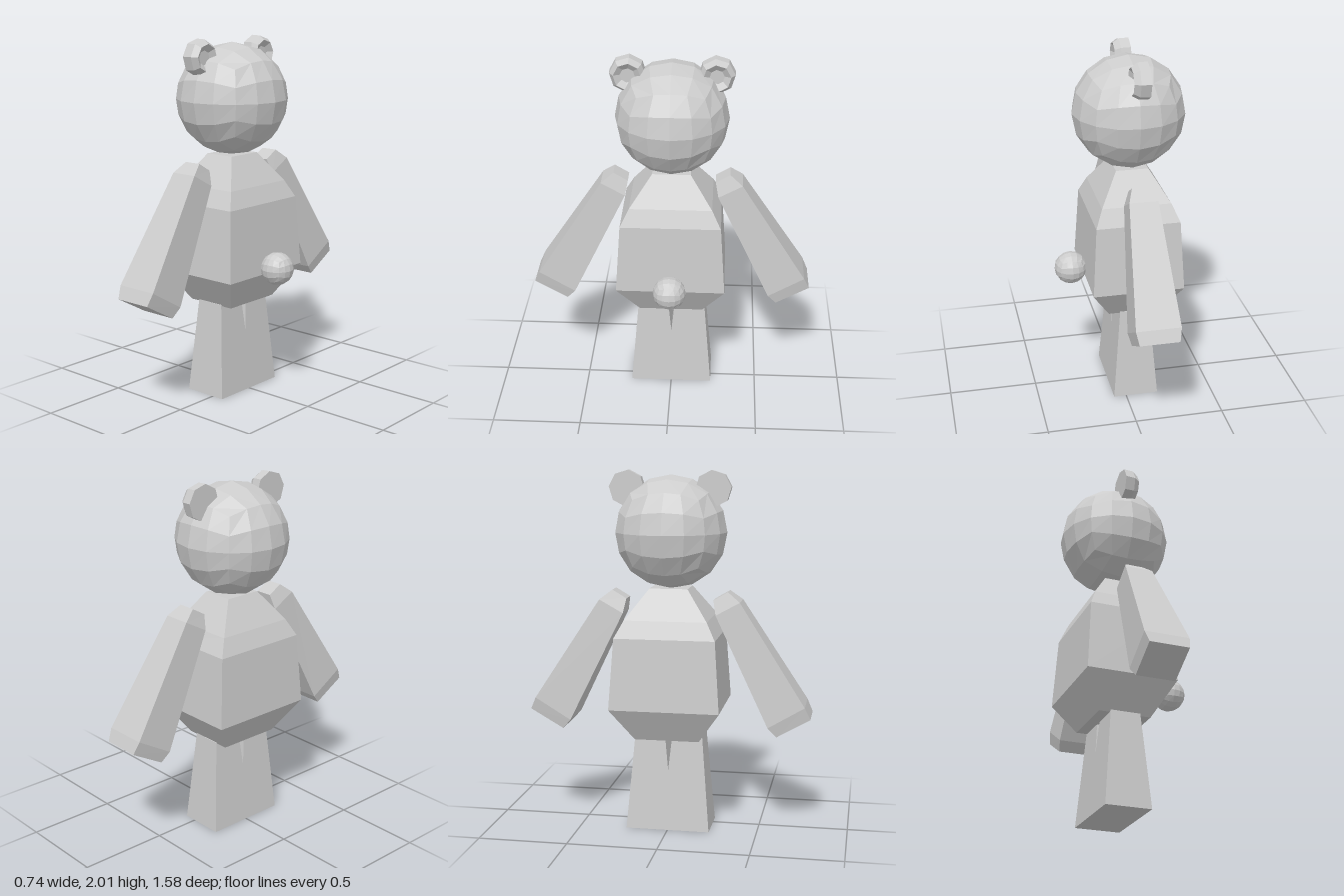
import * as THREE from 'three';

const grey = new THREE.MeshStandardMaterial({ color: 0xcccccc, flatShading: true });
grey.name = 'plain grey';

// Joins matching cross-section rings into a closed, flat-faced solid
function loft(rings) {
  const pos = [];
  const tri = (...pts) => pts.forEach((p) => pos.push(...p));
  const n = rings[0].length;
  for (let i = 0; i < rings.length - 1; i++) {
    for (let j = 0; j < n; j++) {
      const k = (j + 1) % n;
      const a = rings[i][j], b = rings[i][k], c = rings[i + 1][k], d = rings[i + 1][j];
      tri(a, b, c);
      tri(a, c, d);
    }
  }
  const first = rings[0], last = rings[rings.length - 1];
  for (let j = 1; j < n - 1; j++) {
    tri(first[0], first[j + 1], first[j]);
    tri(last[0], last[j], last[j + 1]);
  }
  const g = new THREE.BufferGeometry();
  g.setAttribute('position', new THREE.Float32BufferAttribute(pos, 3));
  g.computeVertexNormals();
  return g;
}

// Four-cornered ring: half width in x, outer [z, y] and inner [z, y] edges
const slab = (hx, [zo, yo], [zi, yi]) => [
  [hx, yo, zo], [hx, yi, zi], [-hx, yi, zi], [-hx, yo, zo],
];

// Ball made from a rounded cube with four cells along each edge
function ball(radius) {
  const g = new THREE.BoxGeometry(2, 2, 2, 4, 4, 4);
  const p = g.attributes.position;
  const v = new THREE.Vector3();
  const warp = (t) => Math.tan((t * Math.PI) / 4);
  for (let i = 0; i < p.count; i++) {
    v.fromBufferAttribute(p, i);
    v.set(warp(v.x), warp(v.y), warp(v.z)).setLength(radius);
    p.setXYZ(i, v.x, v.y, v.z);
  }
  g.computeVertexNormals();
  return g;
}

export function createModel() {
  const model = new THREE.Group();
  model.name = 'bear';
  const figure = new THREE.Group();
  figure.name = 'figure';
  figure.position.x = -0.057;
  model.add(figure);

  const add = (name, geometry, x = 0, y = 0, z = 0) => {
    const mesh = new THREE.Mesh(geometry, grey);
    mesh.name = name;
    mesh.position.set(x, y, z);
    figure.add(mesh);
    return mesh;
  };

  // Body: [height, half width x, half width z]
  const bodyProfile = [
    [0.525, 0.147, 0.18], [0.71, 0.256, 0.305], [1.105, 0.233, 0.278],
    [1.2, 0.192, 0.228], [1.365, 0.09, 0.106],
  ];
  add('body', loft(bodyProfile.map(([y, hx, hz]) => slab(hx, [hz, y], [-hz, y]))));

  // Head and tail
  add('head', ball(0.311), 0, 1.67, 0);
  add('tail', ball(0.092), 0.332, 0.752, 0);

  // Limbs, tapering towards the body
  const leg = loft([
    slab(0.128, [0.235, 0], [-0.035, 0]),
    slab(0.084, [0.19, 0.535], [0.02, 0.535]),
  ]);
  const arm = loft([
    slab(0.108, [0.788, 0.667], [0.603, 0.561]),
    slab(0.122, [0.757, 0.735], [0.556, 0.614]),
    slab(0.078, [0.392, 1.296], [0.259, 1.222]),
    slab(0.05, [0.323, 1.349], [0.243, 1.302]),
  ]);

  // Ear: thick eight-sided disc with a dished back, [x, radius]
  const earProfile = [[-0.05, 0.1], [0.005, 0.098], [0.037, 0.075], [0.012, 0.04]];
  const ear = loft(earProfile.map(([x, r]) =>
    Array.from({ length: 8 }, (_, j) => {
      const a = ((j + 0.5) * Math.PI) / 4;
      return [x, r * Math.cos(a), r * Math.sin(a)];
    })));

  for (const side of [1, -1]) {
    const label = side > 0 ? 'front' : 'back';
    const turn = side > 0 ? 0 : Math.PI;
    add(label + 'Leg', leg).rotation.y = turn;
    add(label + 'Arm', arm).rotation.y = turn;
    add(label + 'Ear', ear, 0, 1.907, side * 0.238).rotation.x = side * 0.3;
  }
  return model;
}
